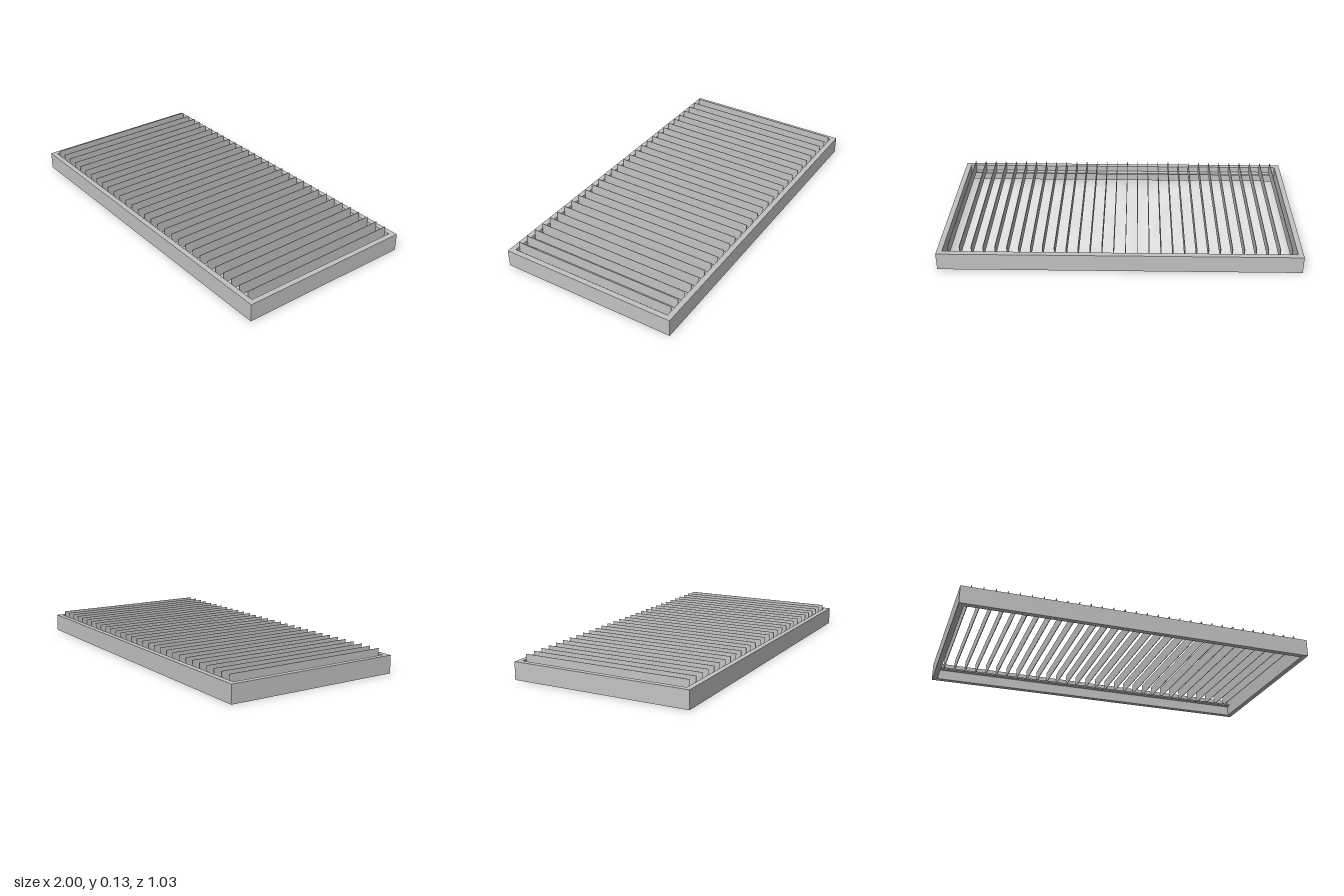
import * as THREE from 'three';

const W = 2, D = 1.03, H = 0.1;      // outer frame
const WALL = 0.03;
const LEDGE_Y = 0.058, LEDGE_T = 0.008, LEDGE_D = 0.03;
const SLATS = 30, SLAT_T = 0.0033, SLAT_TOP = 0.13;

export function createModel() {
  const group = new THREE.Group();
  const metal = new THREE.MeshStandardMaterial({ color: 0xc3c3c3 });
  metal.name = 'light grey metal';

  const add = (name, geometry, x, y, z) => {
    const mesh = new THREE.Mesh(geometry, metal);
    mesh.name = name;
    mesh.position.set(x, y, z);
    group.add(mesh);
  };

  const rectangle = (Type, w, d) => new Type([
    new THREE.Vector2(-w / 2, -d / 2), new THREE.Vector2(w / 2, -d / 2),
    new THREE.Vector2(w / 2, d / 2), new THREE.Vector2(-w / 2, d / 2),
  ]);

  // Rectangular frame, open at top and bottom
  const innerW = W - 2 * WALL, innerD = D - 2 * WALL;
  const outline = rectangle(THREE.Shape, W, D);
  outline.holes.push(rectangle(THREE.Path, innerW, innerD));
  const frame = new THREE.ExtrudeGeometry(outline, { depth: H, bevelEnabled: false });
  frame.rotateX(-Math.PI / 2);
  add('frame', frame, 0, 0, 0);

  // Support ledges inside the front and back walls
  const ledge = new THREE.BoxGeometry(innerW, LEDGE_T, LEDGE_D);
  for (const side of [1, -1]) {
    add(side > 0 ? 'frontLedge' : 'backLedge', ledge,
      0, LEDGE_Y + LEDGE_T / 2, side * (innerD - LEDGE_D) / 2);
  }

  // Upright slats resting on the ledges
  const bottom = LEDGE_Y + LEDGE_T;
  const slat = new THREE.BoxGeometry(SLAT_T, SLAT_TOP - bottom, innerD);
  const pitch = innerW / SLATS;
  for (let i = 0; i < SLATS; i++) {
    add(`slat${i + 1}`, slat, (i - (SLATS - 1) / 2) * pitch, (SLAT_TOP + bottom) / 2, 0);
  }

  return group;
}
